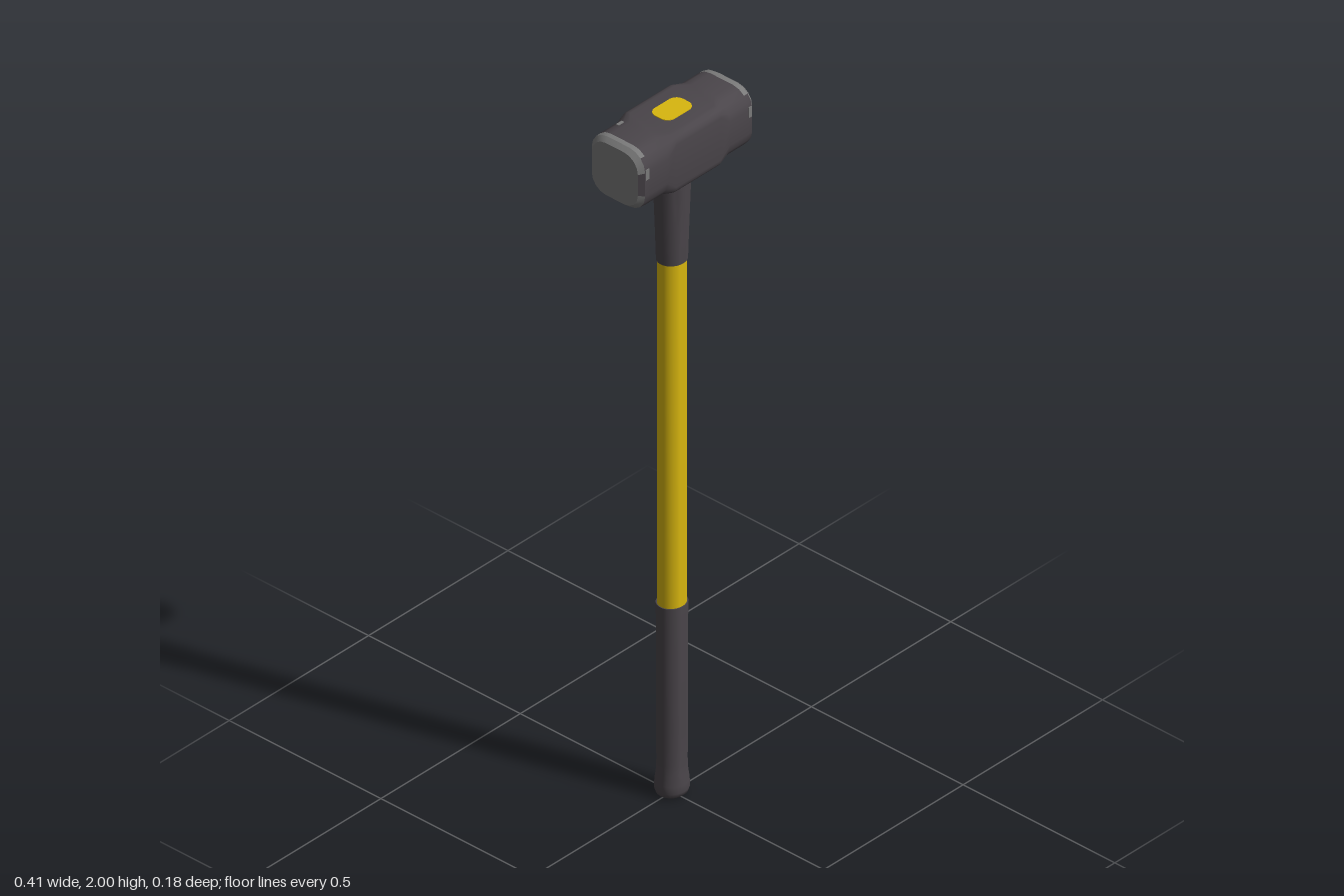
import * as THREE from 'three';
import { toCreasedNormals } from 'three/addons/utils/BufferGeometryUtils.js';

const mat = (name, color) => {
  const m = new THREE.MeshStandardMaterial({ color });
  m.name = name;
  return m;
};

const HEAD_Y = 1.9125;
const SEG = 4; // segments per rounded corner

// Rounded-rectangle ring across the head at x: half height, half depth, corner radius
function ring(x, h, d, r) {
  const pts = [];
  for (let q = 0; q < 4; q++) {
    const sz = q === 0 || q === 3 ? 1 : -1, sy = q < 2 ? 1 : -1;
    for (let k = 0; k <= SEG; k++) {
      const a = (q + k / SEG) * Math.PI / 2;
      pts.push([x, HEAD_Y + sy * (h - r) + r * Math.sin(a), sz * (d - r) + r * Math.cos(a)]);
    }
  }
  return pts;
}

// Loft the head, sorting its faces into painted and bare steel
function headGeometries() {
  const half = [[0.08, 0.0865, 0.089, 0.025], [0.112, 0.0865, 0.089, 0.052], [0.178, 0.0865, 0.089, 0.052],
    [0.192, 0.086, 0.088, 0.052], [0.205, 0.076, 0.076, 0.046]];
  const stations = [...half.map(([x, ...s]) => [-x, ...s]).reverse(), ...half];
  const rings = stations.map((s) => ring(...s));
  const n = rings[0].length;
  const painted = [], bare = [];
  for (let i = 0; i < rings.length - 1; i++) {
    const fromEnd = Math.min(i, rings.length - 2 - i);
    for (let j = 0; j < n; j++) {
      const k = (j + 1) % n;
      const a = rings[i][j], b = rings[i][k], c = rings[i + 1][k], d = rings[i + 1][j];
      const up = Math.abs((a[1] + b[1]) / 2 - HEAD_Y);
      // wear reaches further in on the top and bottom than on the sides
      const worn = (fromEnd === 0 && up > 0.02) || (fromEnd === 1 && up > 0.07);
      (worn ? bare : painted).push(...a, ...d, ...c, ...a, ...c, ...b);
    }
  }
  // striking faces
  for (const [r, s] of [[rings[0], -1], [rings[rings.length - 1], 1]]) {
    const centre = [s * 0.207, HEAD_Y, 0];
    for (let j = 0; j < n; j++) {
      const p = r[j], q = r[(j + 1) % n];
      bare.push(...centre, ...(s > 0 ? q : p), ...(s > 0 ? p : q));
    }
  }
  return [painted, bare].map((list) => {
    const g = new THREE.BufferGeometry();
    g.setAttribute('position', new THREE.Float32BufferAttribute(list, 3));
    return toCreasedNormals(g, 0.6);
  });
}

export function createModel() {
  const group = new THREE.Group();
  const dark = mat('dark coating', 0x4a454a);
  const steel = mat('bare steel', 0x7a7a7a);
  const yellow = mat('yellow fibreglass', 0xd8b60f);

  const add = (name, geometry, material) => {
    const mesh = new THREE.Mesh(geometry, material);
    mesh.name = name;
    group.add(mesh);
    return mesh;
  };

  // Oval handle sections, turned and flattened in depth
  const turned = (name, profile, material, depth) => {
    const g = new THREE.LatheGeometry(profile.map(([r, y]) => new THREE.Vector2(r, y)), 28);
    g.scale(1, 1, depth);
    add(name, toCreasedNormals(g, 0.7), material);
  };
  turned('grip', [[0, 0], [0.034, 0.002], [0.042, 0.008], [0.046, 0.02], [0.045, 0.04], [0.041, 0.07],
    [0.04, 0.1], [0.041, 0.2], [0.0415, 0.56], [0, 0.56]], dark, 0.92);
  turned('shaft', [[0.039, 0.55], [0.039, 1.575]], yellow, 0.9);
  turned('neckSleeve', [[0, 1.565], [0.041, 1.565], [0.044, 1.66], [0.048, 1.77], [0.05, 1.84]], dark, 0.92);

  // Hammer head
  const [painted, bare] = headGeometries();
  add('head', painted, dark);
  add('wornEnds', bare, steel);

  // Handle end showing through the eye
  const plug = new THREE.Shape();
  const w = 0.05, d = 0.033, r = 0.024;
  plug.absarc(w - r, d - r, r, 0, Math.PI / 2);
  plug.absarc(r - w, d - r, r, Math.PI / 2, Math.PI);
  plug.absarc(r - w, r - d, r, Math.PI, Math.PI * 1.5);
  plug.absarc(w - r, r - d, r, Math.PI * 1.5, Math.PI * 2);
  const plugGeo = new THREE.ExtrudeGeometry(plug, { depth: 0.005, bevelEnabled: false, curveSegments: 6 });
  plugGeo.rotateX(-Math.PI / 2).translate(0, 1.996, 0);
  add('handleEnd', plugGeo, yellow);

  // Small chips in the coating
  const chip = (x, y, z, sx, sy, sz) =>
    add('chip', new THREE.BoxGeometry(sx, sy, sz), steel).position.set(x, y, z);
  chip(-0.13, 1.999, -0.052, 0.02, 0.002, 0.008);
  for (const s of [-1, 1]) chip(s * 0.184, 1.94, 0.0885, 0.012, 0.03, 0.002);

  return group;
}
